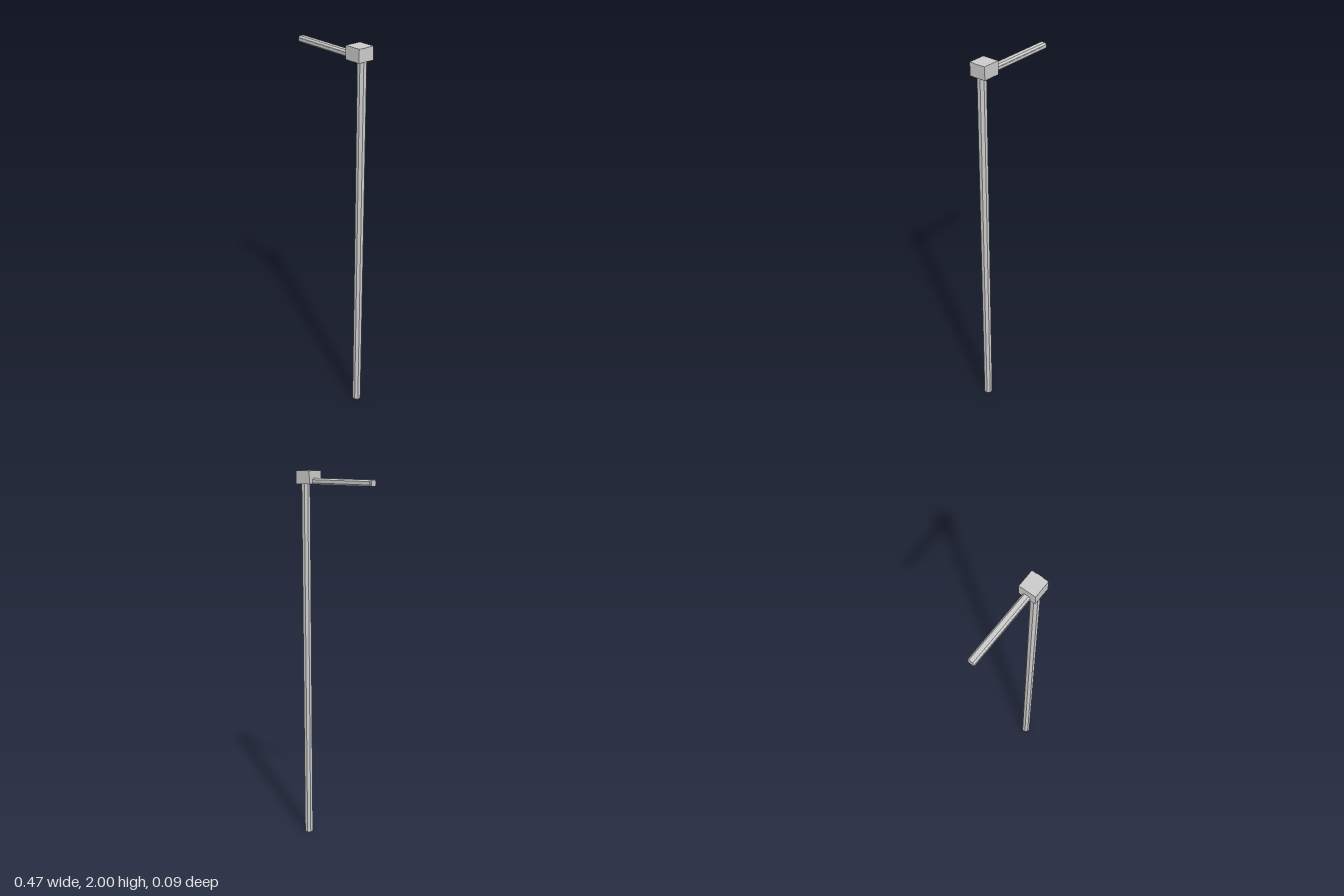
import * as THREE from 'three';

const material = new THREE.MeshStandardMaterial({ color: 0xcccccc, flatShading: true });

function addPart(group, name, geometry, x, y, z) {
  const mesh = new THREE.Mesh(geometry, material);
  mesh.name = name;
  mesh.position.set(x, y, z);
  group.add(mesh);
  return mesh;
}

// Bar with an eight-sided section: half width, half height and half length of the flat sides
function octagonBar(w, h, flatW, flatH, length) {
  const shape = new THREE.Shape([
    [w, -flatH], [w, flatH], [flatW, h], [-flatW, h],
    [-w, flatH], [-w, -flatH], [-flatW, -h], [flatW, -h],
  ].map(([x, y]) => new THREE.Vector2(x, y)));
  return new THREE.ExtrudeGeometry(shape, { depth: length, bevelEnabled: false })
    .translate(0, 0, -length / 2);
}

export function createModel() {
  const model = new THREE.Group();
  model.name = 'postWithArm';

  // Tall upright
  const pole = octagonBar(0.0213, 0.0218, 0.009, 0.009, 1.94).rotateX(-Math.PI / 2);
  addPart(model, 'pole', pole, 0.206, 0.97, -0.0015);

  // Block joining the pole and the arm, with a thin lip on its outer side
  addPart(model, 'headBlock', new THREE.BoxGeometry(0.092, 0.066, 0.088), 0.188, 1.967, -0.001);
  addPart(model, 'sideLip', new THREE.BoxGeometry(0.006, 0.003, 0.034), 0.233, 1.9985, -0.003);

  // Horizontal arm
  const arm = octagonBar(0.0185, 0.016, 0.0105, 0.008, 0.382).rotateY(Math.PI / 2);
  addPart(model, 'arm', arm, -0.046, 1.948, -0.003);

  // Narrow strips along both sides of the arm
  for (const side of [-1, 1]) {
    addPart(model, side > 0 ? 'frontStrip' : 'backStrip',
      new THREE.BoxGeometry(0.356, 0.012, 0.003), -0.05, 1.948, -0.003 + side * 0.0185);
  }
  return model;
}
